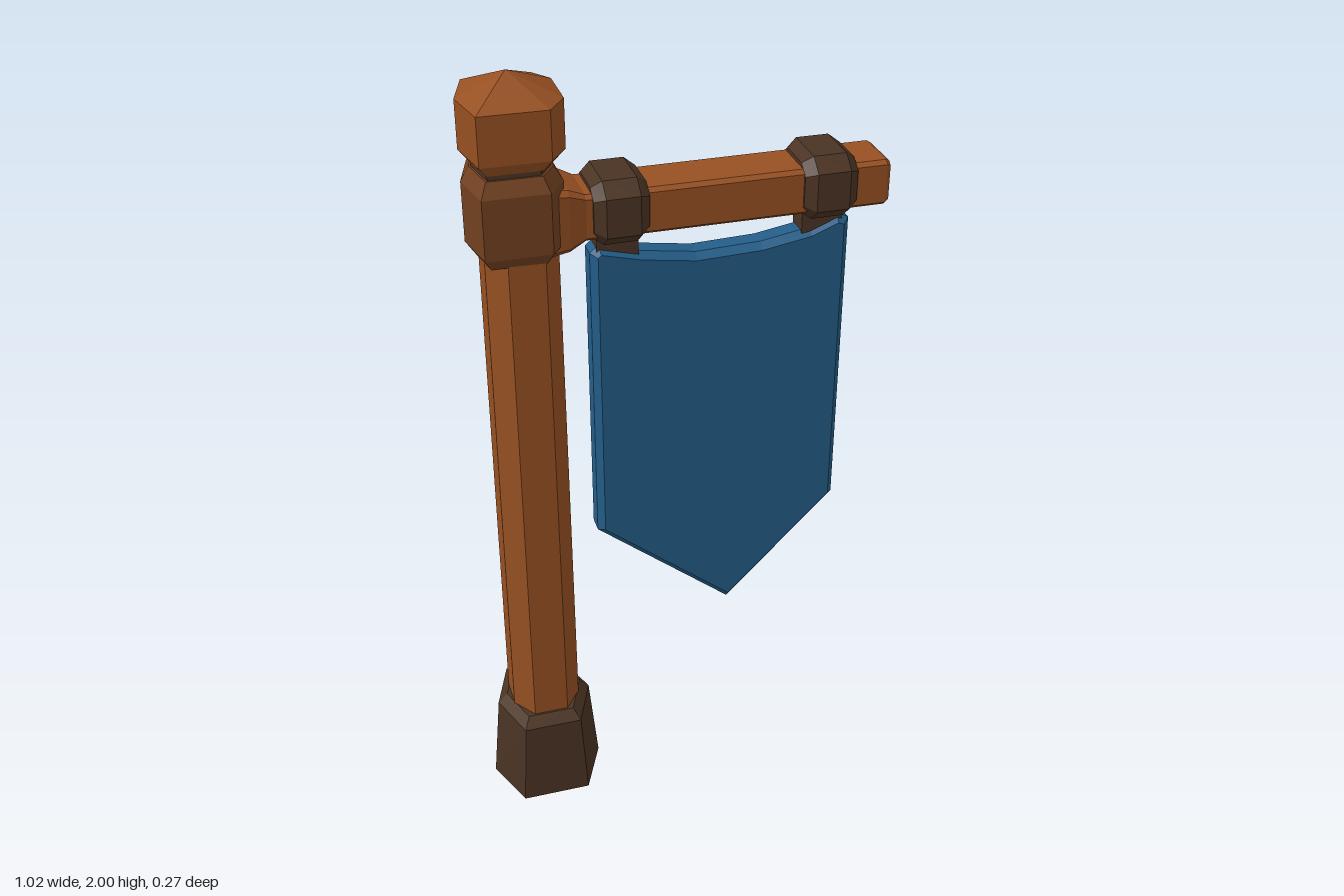
import * as THREE from 'three';

const flat = (name, color) => {
  const m = new THREE.MeshStandardMaterial({ color, flatShading: true });
  m.name = name;
  return m;
};

// Joins scaled copies of a polygon [x, z]; each station is [y, scaleX, scaleZ, offsetX].
function loft(polygon, stations) {
  const rings = stations.map(([y, sx, sz, ox = 0]) =>
    polygon.map(([x, z]) => [x * sx + ox, y, z * sz]));
  const n = polygon.length, last = rings.length - 1, out = [];
  const tri = (a, b, c) => out.push(...a, ...b, ...c);
  for (let r = 0; r < last; r++) {
    for (let i = 0; i < n; i++) {
      const j = (i + 1) % n;
      tri(rings[r][i], rings[r][j], rings[r + 1][j]);
      tri(rings[r][i], rings[r + 1][j], rings[r + 1][i]);
    }
  }
  for (let i = 1; i < n - 1; i++) {
    tri(rings[0][0], rings[0][i + 1], rings[0][i]);
    tri(rings[last][0], rings[last][i], rings[last][i + 1]);
  }
  const g = new THREE.BufferGeometry();
  g.setAttribute('position', new THREE.Float32BufferAttribute(out, 3));
  g.computeVertexNormals();
  return g;
}

// Square with cut corners; kx and kz are the half lengths of the flats.
const cutSquare = (kx, kz) => [
  [1, kz], [1, -kz], [kx, -1], [-kx, -1], [-1, -kz], [-1, kz], [-kx, 1], [kx, 1],
];

export function createModel() {
  const model = new THREE.Group();
  model.name = 'hangingBanner';
  const wood = flat('warm wood', 0x965022);
  const midWood = flat('shaded wood', 0x71401f);
  const dark = flat('dark wood', 0x4a3323);
  const cloth = flat('blue cloth', 0x235d88);

  const add = (name, geometry, material, x = 0, y = 0) => {
    const mesh = new THREE.Mesh(geometry, material);
    mesh.name = name;
    mesh.position.set(x, y, 0);
    model.add(mesh);
    return mesh;
  };

  // Upright post with its flared foot
  const postX = -0.365;
  const hexagon = [[1, 0], [0.58, -1], [-0.62, -1], [-1, 0], [-0.62, 1], [0.58, 1]];
  add('foot', loft(hexagon, [
    [0, 0.147, 0.135], [0.24, 0.125, 0.13], [0.265, 0.1, 0.105],
  ]), dark, postX);
  add('post', loft(cutSquare(0.5, 0.4), [[0.2, 0.088, 0.1], [1.62, 0.086, 0.098]]), wood, postX);

  // Collar, neck and pointed cap on top of the post
  const capShape = [
    [1, -0.6], [0.7, -1], [-0.7, -1], [-1, -0.05], [-0.78, 0.95], [0.62, 0.97], [1, 0.45],
  ];
  add('collar', loft(capShape, [
    [1.58, 0.09, 0.1], [1.61, 0.11, 0.12], [1.755, 0.11, 0.12], [1.79, 0.09, 0.1],
  ]), midWood, postX - 0.01);
  add('neck', loft(capShape, [[1.77, 0.085, 0.095], [1.82, 0.085, 0.095]]), dark, postX - 0.01);
  add('cap', loft(capShape, [
    [1.8, 0.09, 0.095], [1.83, 0.114, 0.12], [1.945, 0.114, 0.12], [2, 0.001, 0.001],
  ]), wood, postX - 0.007);

  // Cross arm, flaring where it meets the collar
  const armY = 1.662;
  add('crossArm', loft(cutSquare(0.84, 0.84), [
    [-0.3, 0.08, 0.085], [-0.26, 0.075, 0.08], [-0.22, 0.056, 0.07],
    [0.5, 0.056, 0.072], [0.51, 0.05, 0.066],
  ]).rotateZ(-Math.PI / 2), wood, 0, armY);

  // Two bands round the arm, each with a strap down to the cloth
  for (const [side, x] of [['right', -0.14], ['left', 0.36]]) {
    add(side + 'Band', loft(cutSquare(0.6, 0.62), [
      [-0.065, 0.06, 0.077], [-0.04, 0.078, 0.097], [0.04, 0.078, 0.097], [0.065, 0.06, 0.077],
    ]).rotateZ(-Math.PI / 2), dark, x, armY + 0.006);
    add(side + 'Strap', new THREE.BoxGeometry(0.1, 0.1, 0.06), dark, x, 1.575);
  }

  // Pennant cloth with bevelled edges, a sagging top and a pointed foot
  const outline = new THREE.Shape([
    [-0.205, 0.775], [0.145, 0.485], [0.43, 0.775], [0.43, 1.565], [0.4, 1.578],
    [0.33, 1.55], [0.21, 1.53], [0.05, 1.525], [-0.08, 1.545], [-0.185, 1.572], [-0.205, 1.555],
  ].map(([x, y]) => new THREE.Vector2(x, y)));
  add('banner', new THREE.ExtrudeGeometry(outline, {
    depth: 0.044, bevelEnabled: true, bevelSegments: 1,
    bevelThickness: 0.018, bevelSize: 0.016, bevelOffset: -0.016,
  }).translate(0, 0, -0.022), cloth);

  return model;
}
